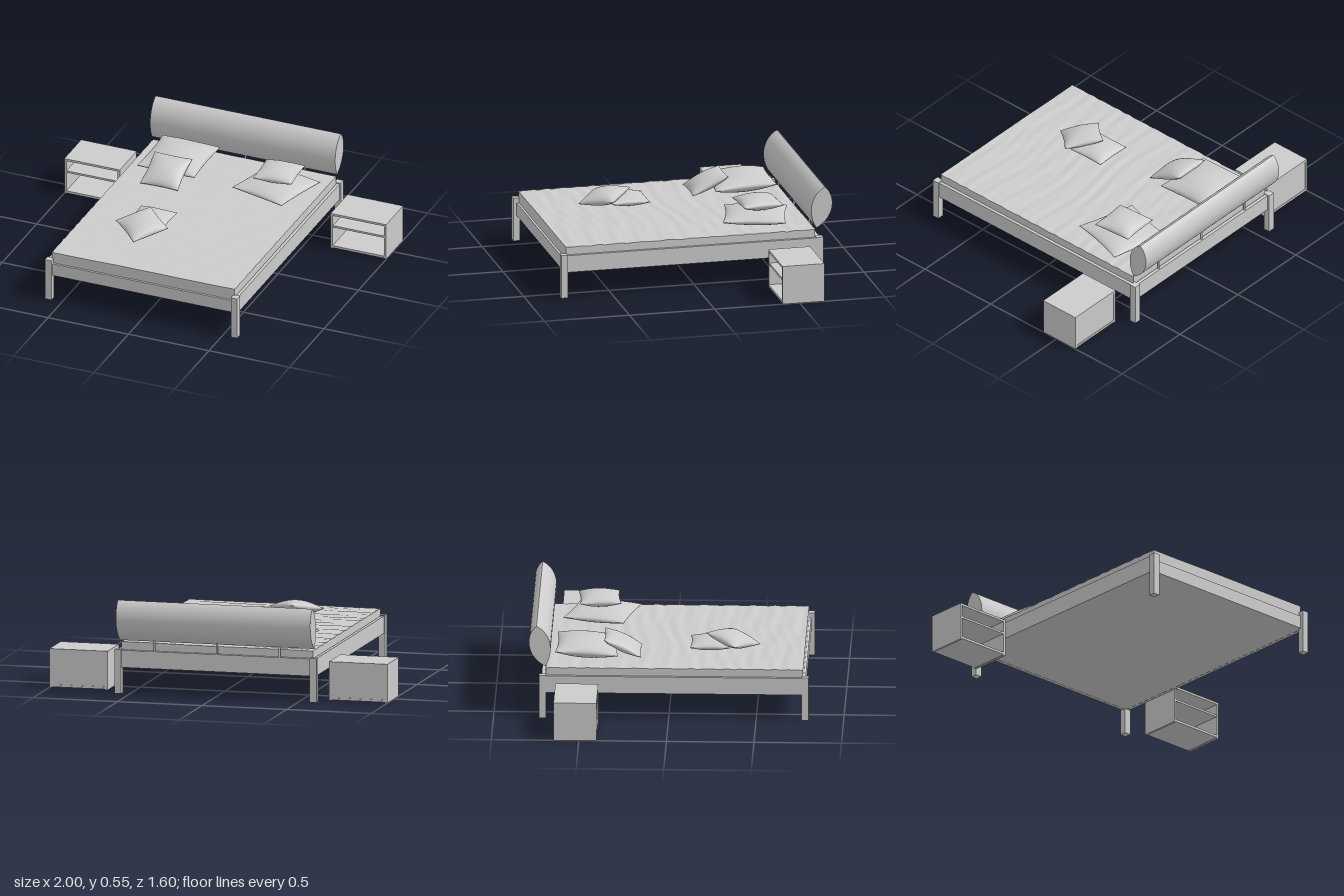
import * as THREE from 'three';
import { mergeVertices, toCreasedNormals } from 'three/addons/utils/BufferGeometryUtils.js';

const material = new THREE.MeshStandardMaterial({ color: 0xcccccc });

function addMesh(parent, name, geometry) {
  const mesh = new THREE.Mesh(geometry, material);
  mesh.name = name;
  parent.add(mesh);
  return mesh;
}

// Box given by its limits on each axis
function addBox(parent, name, [x0, x1], [y0, y1], [z0, z1]) {
  const mesh = addMesh(parent, name, new THREE.BoxGeometry(x1 - x0, y1 - y0, z1 - z0));
  mesh.position.set((x0 + x1) / 2, (y0 + y1) / 2, (z0 + z1) / 2);
  return mesh;
}

// Square cushion: puffed in the middle, pinched to a thin seam, sides drawn in
function cushionGeometry(size, thickness) {
  const n = 28;
  let geo = new THREE.BoxGeometry(2, 2, 2, n, 1, n);
  geo.deleteAttribute('normal');
  geo.deleteAttribute('uv');
  const p = geo.attributes.position;
  for (let i = 0; i < p.count; i++) {
    const u = Math.sin(p.getX(i) * Math.PI / 2), v = Math.sin(p.getZ(i) * Math.PI / 2);
    const puff = Math.pow(Math.max(0, (1 - u * u) * (1 - v * v)), 0.55);
    const crease = 1 + 0.04 * Math.sin(5 * u + 3 * v) * (u * u + v * v);
    p.setXYZ(i,
      u * size / 2 * (1 - 0.06 * (1 - v * v)),
      p.getY(i) * (0.001 + thickness / 2 * puff * crease),
      v * size / 2 * (1 - 0.06 * (1 - u * u)));
  }
  geo = mergeVertices(geo, 1e-5);
  geo.computeVertexNormals();
  return geo;
}

// Mattress with soft wrinkles running across the bed
function mattressGeometry(width, height, length) {
  let geo = new THREE.BoxGeometry(width, height, length, 40, 2, 130);
  const p = geo.attributes.position;
  for (let i = 0; i < p.count; i++) {
    const x = p.getX(i), y = p.getY(i), z = p.getZ(i);
    if (y < height / 2 - 1e-4) continue;
    const wave = Math.sin(55 * z + 3 * Math.sin(4 * x + 5 * z))
      + 0.6 * Math.sin(93 * z + 6 * x + 2 * Math.sin(9 * x));
    p.setY(i, y + 0.0016 * wave);
  }
  return toCreasedNormals(geo, 0.7);
}

// Lens-shaped bolster, swept along x
function bolsterGeometry(length) {
  const s = new THREE.Shape();
  s.moveTo(0.705, 0.305);
  s.bezierCurveTo(0.825, 0.37, 0.815, 0.5, 0.755, 0.545);
  s.bezierCurveTo(0.665, 0.5, 0.655, 0.38, 0.705, 0.305);
  const geo = new THREE.ExtrudeGeometry(s, { depth: length, steps: 1, curveSegments: 20, bevelEnabled: false });
  geo.rotateY(Math.PI / 2);
  return toCreasedNormals(geo, 0.6);
}

function createBed() {
  const bed = new THREE.Group();
  bed.name = 'bed';

  // Frame
  for (const x of [-0.605, 0.55]) {
    for (const z of [-0.74, 0.76]) {
      addBox(bed, 'leg', [x, x + 0.04], [0, 0.255], [z, z + 0.04]);
    }
  }
  for (const x of [-0.597, 0.564]) addBox(bed, 'sideRail', [x, x + 0.018], [0.15, 0.25], [-0.71, 0.77]);
  addBox(bed, 'frontRail', [-0.575, 0.56], [0.15, 0.225], [0.762, 0.78]);
  addBox(bed, 'backRail', [-0.575, 0.56], [0.15, 0.25], [-0.726, -0.706]);
  addBox(bed, 'basePanel', [-0.59, 0.575], [0.151, 0.17], [-0.715, 0.775]);

  // Mattress
  const mattress = addMesh(bed, 'mattress', mattressGeometry(1.134, 0.103, 1.466));
  mattress.position.set(-0.008, 0.242, 0.034);

  // Headboard bolster on three thin posts
  addMesh(bed, 'headboard', bolsterGeometry(1.15)).position.x = -0.585;
  for (const x of [-0.38, -0.01, 0.36]) {
    const post = addMesh(bed, 'headboardPost', new THREE.CylinderGeometry(0.006, 0.006, 0.12, 10));
    post.position.set(x, 0.28, -0.714);
  }
  return bed;
}

// Open two-compartment cabinet
function createNightstand() {
  const stand = new THREE.Group();
  stand.name = 'nightstand';
  const w = 0.1725, t = 0.013, z = [-0.645, -0.4];
  for (const x of [-w, w - t]) addBox(stand, 'sidePanel', [x, x + t], [0, 0.212], z);
  addBox(stand, 'topPanel', [-w, w], [0.212, 0.225], z);
  addBox(stand, 'bottomPanel', [t - w, w - t], [0.004, 0.018], z);
  addBox(stand, 'shelf', [t - w, w - t], [0.135, 0.147], [-0.635, -0.403]);
  addBox(stand, 'backPanel', [t - w, w - t], [0.018, 0.212], [-0.642, -0.632]);
  return stand;
}

export function createModel() {
  const model = new THREE.Group();
  model.name = 'bedroomSet';
  model.add(createBed());

  for (const side of [-1, 1]) {
    const stand = createNightstand();
    stand.position.x = side * 0.8275;
    model.add(stand);
  }

  // Cushions: size, thickness, position, turn about y, tilt about x (degrees)
  const cushions = [
    ['largeCushion', 0.36, 0.115, [-0.32, 0.35, -0.47], -1, 3],
    ['largeCushion', 0.36, 0.085, [0.315, 0.335, -0.405], -15, 0],
    ['smallCushion', 0.235, 0.08, [-0.31, 0.358, -0.268], 0, 25],
    ['smallCushion', 0.235, 0.085, [0.325, 0.413, -0.42], 4, 0],
    ['smallCushion', 0.225, 0.07, [-0.19, 0.327, 0.226], 0, 0],
    ['smallCushion', 0.225, 0.085, [-0.192, 0.35, 0.357], -41, 13],
  ];
  for (const [name, size, thickness, position, turn, tilt] of cushions) {
    const cushion = addMesh(model, name, cushionGeometry(size, thickness));
    cushion.position.set(...position);
    cushion.rotation.set(THREE.MathUtils.degToRad(tilt), THREE.MathUtils.degToRad(turn), 0);
  }
  return model;
}
